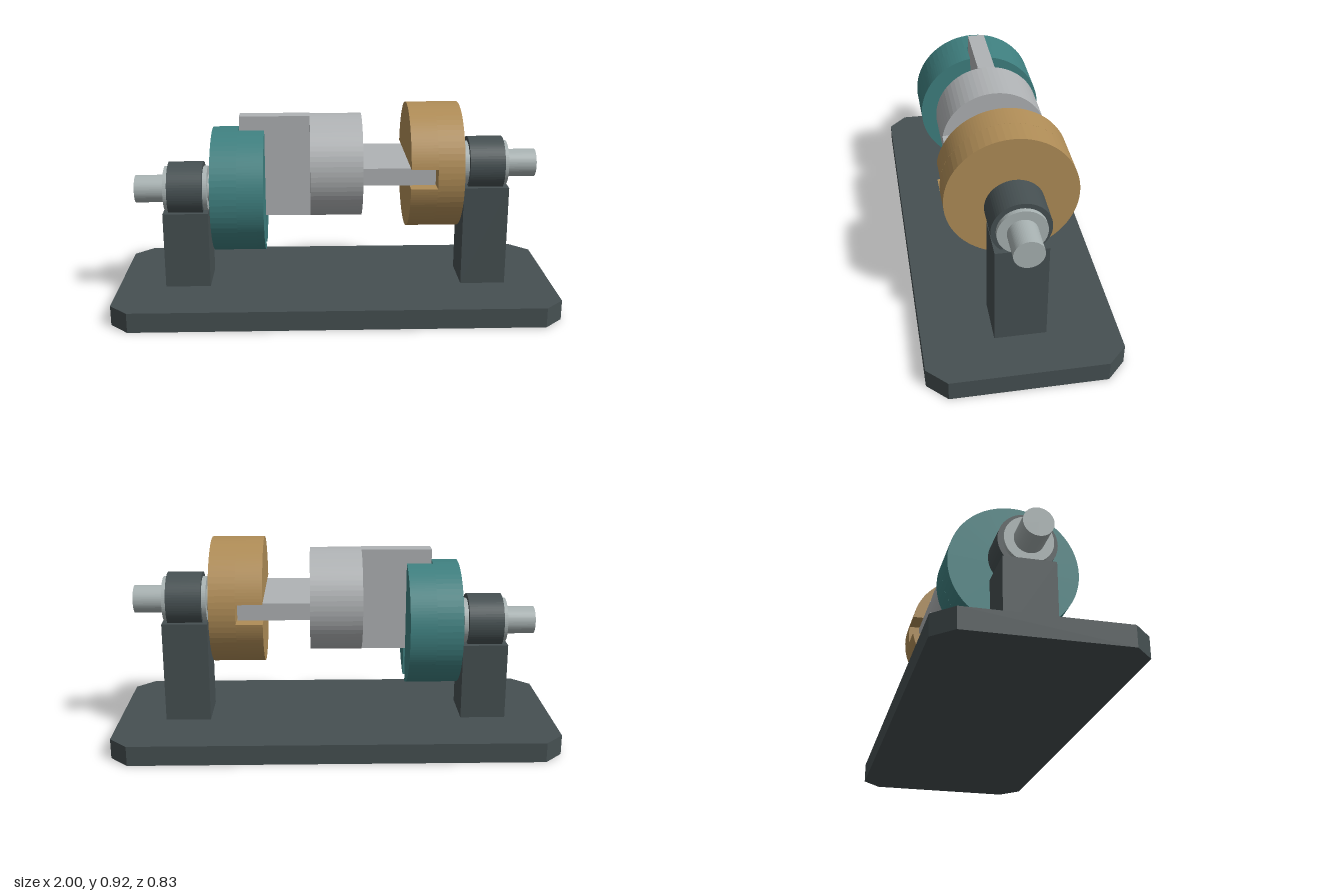
import * as THREE from 'three';

const mat = (color) => new THREE.MeshStandardMaterial({ color, flatShading: true });
const dark = mat(0x465052), steel = mat(0xa8b2b2), grey = mat(0xb0b3b5);
const teal = mat(0x3f8080), ochre = mat(0xb08d57);
const SEG = 64;

function add(parent, name, geometry, material, x = 0, y = 0, z = 0) {
  const mesh = new THREE.Mesh(geometry, material);
  mesh.name = name;
  mesh.position.set(x, y, z);
  parent.add(mesh);
  return mesh;
}

// Cylinder lying along x, from x0 to x1
function rod(parent, name, r, x0, x1, y, material) {
  const g = new THREE.CylinderGeometry(r, r, Math.abs(x1 - x0), SEG).rotateZ(Math.PI / 2);
  return add(parent, name, g, material, (x0 + x1) / 2, y);
}

// Disc with a slot across its inner face: solid back plus two jaws
function slottedHub(parent, name, side, y, slotAngle, material) {
  const R = 0.283, inner = 0.32, floor = 0.437, outer = 0.553, halfSlot = 0.044;
  const hub = new THREE.Group();
  hub.name = name;
  rod(hub, 'hubBack', R, side * floor, side * outer, y, material);
  const a = Math.asin(halfSlot / R);
  const jaw = new THREE.Shape();
  jaw.absarc(0, 0, R, a, Math.PI - a, false);
  jaw.closePath();
  for (const turn of [0, Math.PI]) {
    const g = new THREE.ExtrudeGeometry(jaw, { depth: floor - inner, bevelEnabled: false, curveSegments: 30 });
    g.rotateZ(turn + slotAngle).rotateY(Math.PI / 2);
    add(hub, 'hubJaw', g, material, side > 0 ? inner : -floor, y);
  }
  parent.add(hub);
}

// Pillar, bearing and shaft end on one side
function support(parent, side, y) {
  const g = new THREE.Group();
  g.name = side > 0 ? 'leftSupport' : 'rightSupport';
  const top = y - 0.09, base = 0.09, x = side * 0.682;
  add(g, 'pillar', new THREE.BoxGeometry(0.205, top - base, 0.222), dark, x, (top + base) / 2);
  rod(g, 'bearingHousing', 0.124, x - 0.079, x + 0.079, y, dark);
  rod(g, 'bushing', 0.103, x - 0.099, x + 0.099, y, steel);
  rod(g, 'shaft', 0.063, side * 0.553, side * 0.915, y, steel);
  parent.add(g);
}

export function createModel() {
  const model = new THREE.Group();
  model.name = 'slidingShaftCoupling';
  const yLeft = 0.64, yRight = 0.53;

  // Base plate with clipped corners
  const X = 1, Z = 0.415, c = 0.084;
  const outline = new THREE.Shape([
    [X - c, -Z], [X, -Z + c], [X, Z - c], [X - c, Z],
    [-X + c, Z], [-X, Z - c], [-X, -Z + c], [-X + c, -Z],
  ].map(([x, z]) => new THREE.Vector2(x, z)));
  const plate = new THREE.ExtrudeGeometry(outline, { depth: 0.09, bevelEnabled: false });
  add(model, 'basePlate', plate.rotateX(-Math.PI / 2), dark);

  support(model, 1, yLeft);
  support(model, -1, yRight);

  // Hubs: one slot lies level, the other stands upright
  slottedHub(model, 'leftHub', 1, yLeft, 0, ochre);
  slottedHub(model, 'rightHub', -1, yRight, Math.PI / 2, teal);

  // Floating centre disc with a crossed tongue on each face
  const centre = new THREE.Group();
  centre.name = 'centreDisc';
  rod(centre, 'disc', 0.233, -0.116, 0.116, yLeft, grey);
  const len = 0.316, x = 0.116 + len / 2;
  add(centre, 'levelTongue', new THREE.BoxGeometry(len, 0.076, 0.464), grey, x, yLeft);
  add(centre, 'uprightTongue', new THREE.BoxGeometry(len, 0.464, 0.076), grey, -x, yLeft);
  model.add(centre);

  return model;
}
